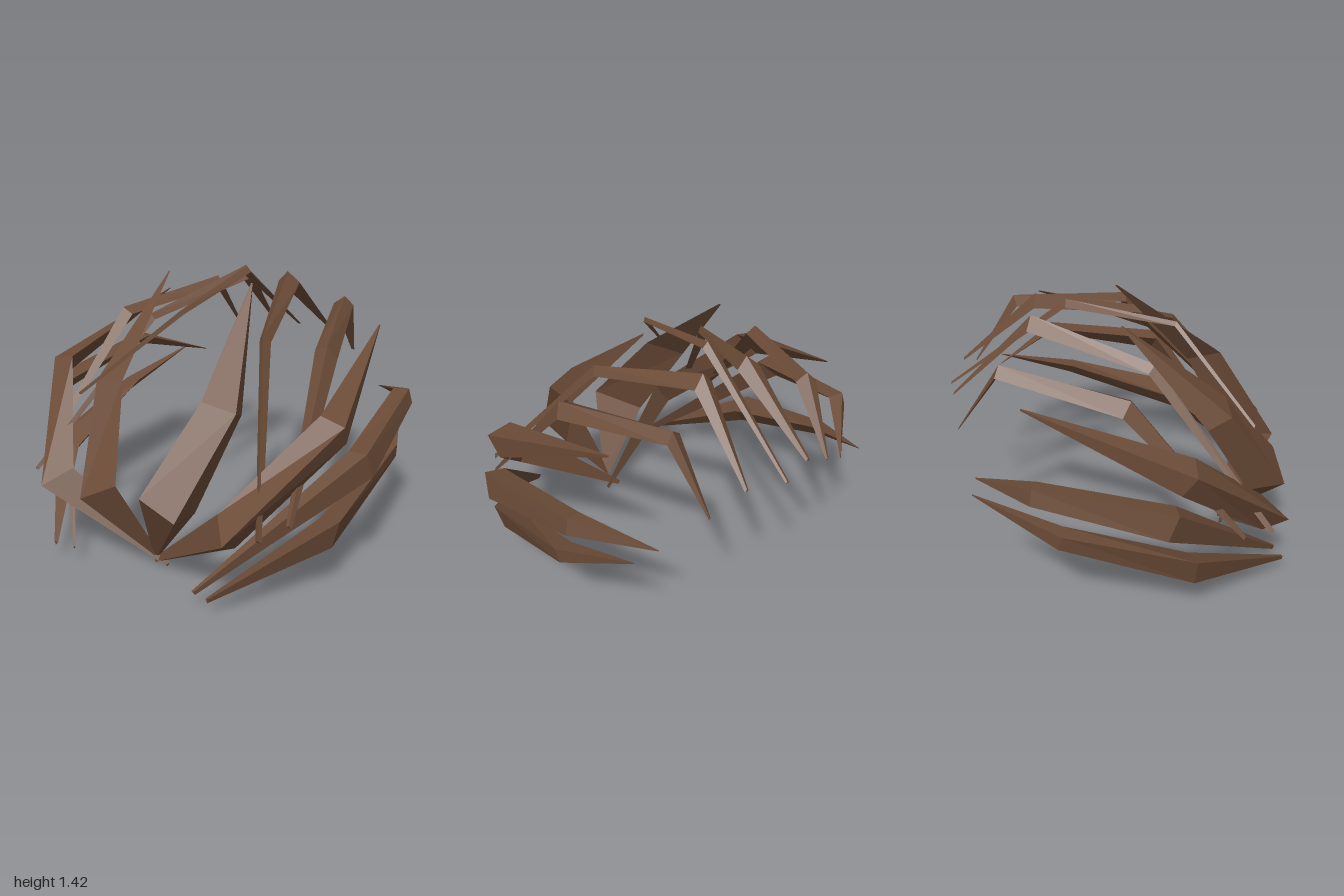
import * as THREE from 'three';

const V = ([x, y, z]) => new THREE.Vector3(x, y, z);

// Bent three-sided spike: a base point, two triangular sections and a tip point.
// Both ends carry a shrunken copy of the section next to them.
function spikeGeometry({ base, low, high, tip, baseScale = 0.15, tipScale = 0.05 }) {
  const shrink = (section, point, scale) => {
    const mid = section[0].clone().add(section[1]).add(section[2]).divideScalar(3);
    return section.map((c) => c.clone().sub(mid).multiplyScalar(scale).add(V(point)));
  };
  const a = low.map(V), b = high.map(V);
  // keep the corners anticlockwise when seen from the tip
  const along = b[0].clone().sub(a[0]);
  const normal = a[1].clone().sub(a[0]).cross(a[2].clone().sub(a[0]));
  if (normal.dot(along) < 0) { a.reverse(); b.reverse(); }
  const rings = [shrink(a, base, baseScale), a, b, shrink(b, tip, tipScale)];

  const faces = [];
  for (let k = 0; k < 3; k++) {
    for (let i = 0; i < 3; i++) {
      const j = (i + 1) % 3, r = rings[k], s = rings[k + 1];
      faces.push(r[i], r[j], s[j], r[i], s[j], s[i]);
    }
  }
  // end caps
  faces.push(rings[0][0], rings[0][2], rings[0][1], ...rings[3]);
  const g = new THREE.BufferGeometry().setFromPoints(faces);
  g.computeVertexNormals();
  return g;
}

const mirror = ([x, y, z]) => [-x, y, z];

export function createModel() {
  const model = new THREE.Group();
  model.name = 'spikeCage';
  const brown = new THREE.MeshStandardMaterial({ color: 0x6b4b37, flatShading: true });
  brown.name = 'brown';

  const add = (name, spike) => {
    const mesh = new THREE.Mesh(spikeGeometry(spike), brown);
    mesh.name = name;
    model.add(mesh);
  };
  const addPair = (name, spike) => {
    add('left' + name, spike);
    add('right' + name, {
      ...spike,
      base: mirror(spike.base), low: spike.low.map(mirror),
      high: spike.high.map(mirror), tip: mirror(spike.tip),
    });
  };

  // front petals, whose tips both lean to the left
  add('leftFrontPetal', {
    base: [0.01, 0.1, 0.64],
    low: [[0.09, 0.545, 0.87], [0.295, 0.47, 0.87], [0.27, 0.43, 0.66]],
    high: [[0.25, 0.98, 0.57], [0.42, 0.94, 0.53], [0.37, 0.88, 0.4]],
    tip: [0.17, 1.42, -0.01],
  });
  add('rightFrontPetal', {
    base: [0.01, 0.1, 0.64],
    low: [[-0.07, 0.56, 0.85], [-0.27, 0.45, 0.89], [-0.295, 0.43, 0.69]],
    high: [[-0.25, 0.98, 0.545], [-0.41, 0.95, 0.56], [-0.435, 0.89, 0.44]],
    tip: [-0.34, 1.42, 0.01],
  });

  // blades round the sides
  addPair('FrontSideBlade', {
    base: [-0.04, 0.02, 0.59],
    low: [[0.56, 0.43, 0.865], [0.45, 0.51, 0.735], [0.55, 0.36, 0.735]],
    high: [[0.9, 0.92, 0.35], [0.77, 0.95, 0.345], [0.88, 0.81, 0.28]],
    tip: [0.69, 1.17, -0.46],
  });
  addPair('UpperSideBlade', {
    base: [0.38, 0.11, 0.84],
    low: [[0.98, 0.77, 0.265], [1, 0.64, 0.215], [0.88, 0.76, 0.25]],
    high: [[0.9, 0.87, -0.41], [0.92, 0.79, -0.42], [0.82, 0.86, -0.39]],
    tip: [0.6, 0.73, -0.71],
  });
  addPair('LowerSideBlade', {
    base: [0.48, 0.12, 0.87],
    low: [[0.91, 0.44, 0.37], [0.87, 0.28, 0.36], [0.78, 0.4, 0.33]],
    high: [[0.91, 0.6, -0.28], [0.9, 0.52, -0.3], [0.82, 0.6, -0.28]],
    tip: [0.74, 0.73, -0.71],
  });

  // ribs over the top
  addPair('OuterTopRib', {
    base: [0.765, 0.48, 0.61], baseScale: 0.25,
    low: [[0.64, 1.18, 0.05], [0.68, 1.11, 0.01], [0.575, 1.15, 0.05]],
    high: [[0.42, 1.26, -0.58], [0.465, 1.21, -0.6], [0.365, 1.215, -0.56]],
    tip: [0.38, 0.88, -0.81], tipScale: 0.15,
  });
  addPair('InnerTopRib', {
    base: [0.69, 0.45, 0.76], baseScale: 0.5,
    low: [[0.35, 1.22, 0.175], [0.375, 1.18, 0.14], [0.325, 1.19, 0.165]],
    high: [[0.135, 1.39, -0.44], [0.2, 1.33, -0.46], [0.08, 1.33, -0.44]],
    tip: [0.195, 0.98, -0.85], tipScale: 0.2,
  });
  add('centreTopRib', {
    base: [-0.43, 0.91, 0.67], baseScale: 0.6,
    low: [[-0.06, 1.315, 0.295], [-0.045, 1.295, 0.285], [-0.075, 1.295, 0.285]],
    high: [[-0.03, 1.43, -0.27], [0, 1.4, -0.27], [-0.07, 1.4, -0.27]],
    tip: [-0.025, 0.95, -0.89], tipScale: 0.3,
  });

  return model;
}
